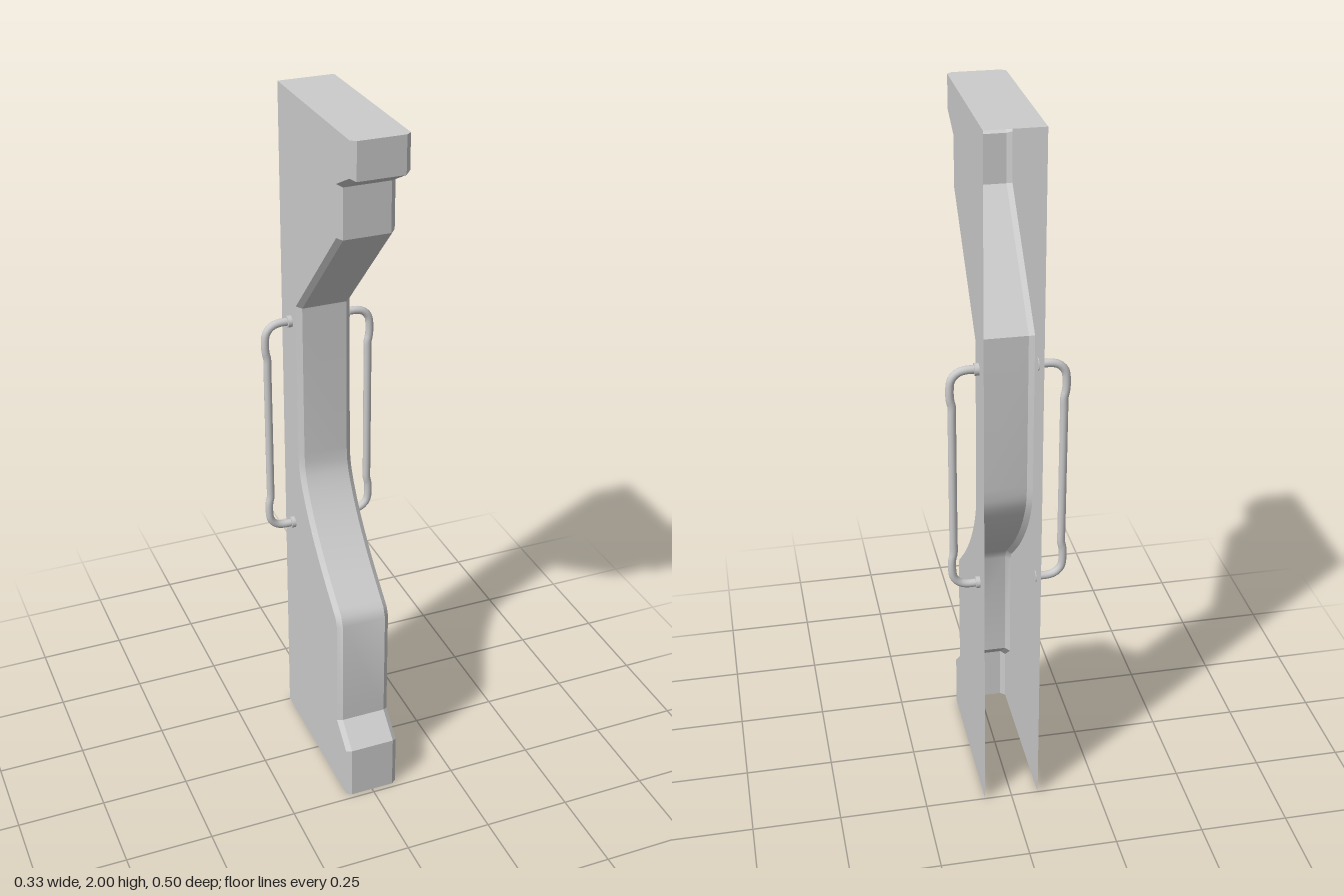
import * as THREE from 'three';
import { toCreasedNormals } from 'three/addons/utils/BufferGeometryUtils.js';

const HALF = 0.078, FLAT = 0.064, BACK = -0.25, BEVEL = 0.011;

// Front edge of the cabinet as (z, y), from top to bottom
function frontProfile() {
  const curve = new THREE.CatmullRomCurve3([
    [-0.125, 0.96], [-0.116, 0.9], [-0.06, 0.8], [0.03, 0.695], [0.1, 0.63], [0.153, 0.583],
  ].map(([z, y]) => new THREE.Vector3(z, y, 0)));
  const upper = [[0.25, 2], [0.25, 1.9], [0.165, 1.857], [0.165, 1.72], [-0.128, 1.41]];
  const lower = [[0.165, 0.555], [0.165, 0.225], [0.236, 0.163], [0.236, 0]];
  return [...upper, ...curve.getPoints(14).map((p) => [p.x, p.y]), ...lower]
    .map(([z, y]) => new THREE.Vector2(z, y));
}

// Moves the profile inwards by d with mitred corners; the ends keep their height
function inset(points, d) {
  const normals = points.slice(1).map((p, i) => {
    const t = p.clone().sub(points[i]).normalize();
    return new THREE.Vector2(-t.y, t.x);
  });
  return points.map((p, i) => {
    const a = normals[Math.max(i - 1, 0)], b = normals[Math.min(i, normals.length - 1)];
    const m = a.clone().add(b);
    return p.clone().addScaledVector(m, -d / (1 + a.dot(b)));
  });
}

// Open-backed, open-bottomed shell: side walls, bevels, front strip and top
function shellGeometry() {
  const outer = frontProfile();
  const inner = inset(outer, BEVEL);
  const rows = outer.map((o, i) => {
    const n = inner[i];
    return [
      [-HALF, n.y, BACK], [-HALF, n.y, n.x], [-FLAT, o.y, o.x],
      [FLAT, o.y, o.x], [HALF, n.y, n.x], [HALF, n.y, BACK],
    ];
  });
  const pos = [];
  const tri = (a, b, c) => pos.push(...a, ...b, ...c);
  for (let i = 0; i < rows.length - 1; i++) {
    const t = rows[i], b = rows[i + 1];
    for (let j = 0; j < 5; j++) {
      tri(t[j], b[j], b[j + 1]);
      tri(t[j], b[j + 1], t[j + 1]);
    }
  }
  const top = rows[0];
  for (let j = 1; j < 5; j++) tri(top[0], top[j], top[j + 1]);
  const g = new THREE.BufferGeometry();
  g.setAttribute('position', new THREE.Float32BufferAttribute(pos, 3));
  return toCreasedNormals(g, 0.45);
}

// Bent side handle with a collar at each mount
function makeHandle(side, material) {
  const handle = new THREE.Group();
  handle.name = side > 0 ? 'leftHandle' : 'rightHandle';
  const mid = 1.03, z = -0.18;
  const half = [[0.076, 0.323], [0.115, 0.323], [0.135, 0.316], [0.15, 0.298],
    [0.154, 0.27], [0.153, 0.24], [0.149, 0.222], [0.149, 0.18]];
  const path = [...half, ...half.map(([x, y]) => [x, -y]).reverse()]
    .map(([x, y]) => new THREE.Vector3(side * x, mid + y, z));
  const curve = new THREE.CatmullRomCurve3(path, false, 'centripetal');
  const bar = new THREE.Mesh(new THREE.TubeGeometry(curve, 72, 0.0112, 12), material);
  bar.name = 'handleBar';
  handle.add(bar);
  for (const s of [1, -1]) {
    const collar = new THREE.Mesh(new THREE.CylinderGeometry(0.0165, 0.0165, 0.014, 16), material);
    collar.name = 'handleCollar';
    collar.rotation.z = Math.PI / 2;
    collar.position.set(side * 0.083, mid + s * 0.323, z);
    handle.add(collar);
  }
  return handle;
}

export function createModel() {
  const model = new THREE.Group();
  model.name = 'cabinetPanel';
  const shellMaterial = new THREE.MeshStandardMaterial({ color: 0xcccccc, side: THREE.DoubleSide });
  const handleMaterial = new THREE.MeshStandardMaterial({ color: 0xcccccc });
  const shell = new THREE.Mesh(shellGeometry(), shellMaterial);
  shell.name = 'shell';
  model.add(shell, makeHandle(1, handleMaterial), makeHandle(-1, handleMaterial));
  return model;
}
